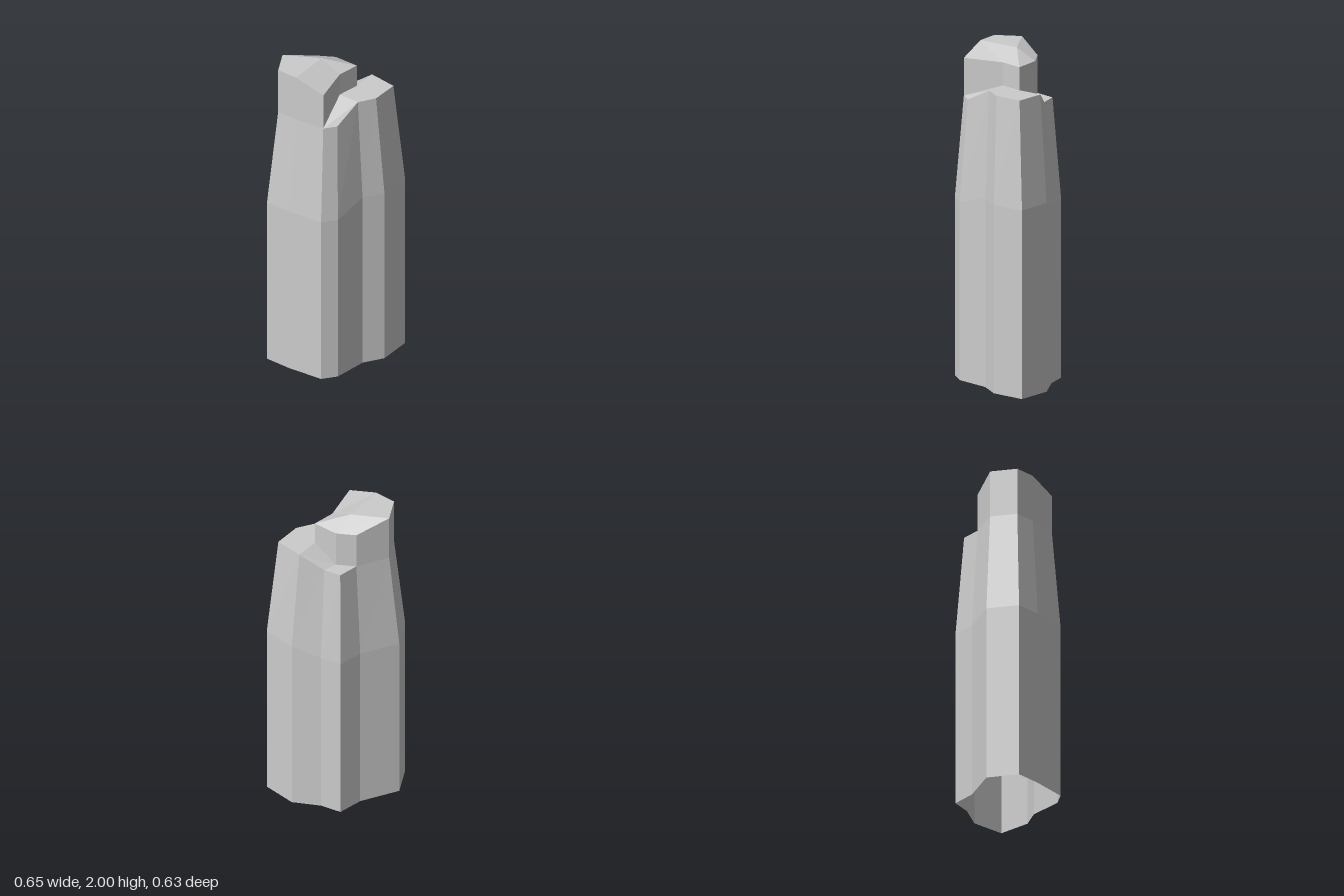
import * as THREE from 'three';

// Corners of the outline (x, z) at the base and, drawn in, at the shoulder
const base = {
  A: [-0.155, -0.317], B: [0.065, -0.202], C: [0.218, -0.178], D: [0.243, -0.052],
  E: [0.325, 0.102], F: [0.302, 0.309], G: [0.1, 0.315], H: [-0.017, 0.244],
  I: [-0.222, 0.222], J: [-0.304, 0.161], K: [-0.327, -0.06], L: [-0.327, -0.222],
};
const inner = {
  A: [-0.132, -0.26], B: [0.055, -0.165], C: [0.18, -0.145], D: [0.2, -0.04],
  E: [0.27, 0.09], F: [0.25, 0.264], G: [0.082, 0.267], H: [-0.017, 0.209],
  I: [-0.187, 0.19], J: [-0.255, 0.139], K: [-0.275, -0.047], L: [-0.275, -0.18],
  M: [-0.017, -0.06], N: [0.117, -0.06], P: [0.12, 0.095], Q: [-0.017, 0.075],
};

// Levels: the front corners break and end higher than the rest
const kinkY = (k) => ('EFGH'.includes(k) ? 1.15 : 1.09);
const ledgeY = (k) => ('EFGHPQ'.includes(k) ? 1.8 : 1.71);
const roofY = (k) => ('AKLM'.includes(k) ? 2 : 1.94);

const at = (plan, height) => (k) => [plan[k][0], height(k), plan[k][1]];
const ground = at(base, () => 0);
const kink = at(base, kinkY);
const ledge = at(inner, ledgeY);
const roof = at(inner, roofY);

// Wall between two levels of a closed ring of corners
function wall(ring, low, high) {
  return [...ring].map((a, i) => {
    const b = ring[(i + 1) % ring.length];
    return [low(b), low(a), high(a), high(b)];
  });
}

// Faceted mesh from polygons, each split as a fan from its first corner
function facets(name, polygons) {
  const points = [];
  for (const p of polygons) {
    for (let i = 1; i < p.length - 1; i++) points.push(...p[0], ...p[i], ...p[i + 1]);
  }
  const geometry = new THREE.BufferGeometry();
  geometry.setAttribute('position', new THREE.Float32BufferAttribute(points, 3));
  geometry.computeVertexNormals();
  const material = new THREE.MeshStandardMaterial({
    color: 0xcccccc, flatShading: true, side: THREE.DoubleSide,
  });
  const mesh = new THREE.Mesh(geometry, material);
  mesh.name = name;
  return mesh;
}

const caps = (faces, level) => faces.map((f) => [...f].map(level));

export function createModel() {
  const group = new THREE.Group();
  group.name = 'rockPillar';
  const outline = 'ABCDEFGHIJKL';

  // Upright shaft, open underneath, and the tapering shoulder above it
  group.add(facets('shaft', wall(outline, ground, kink)));
  group.add(facets('shoulder', wall(outline, kink, ledge)));

  // Stepped ledge around the front and side of the peak
  group.add(facets('ledge', caps(['JIHQ', 'PQHGFE', 'EDNP', 'NDCB'], ledge)));

  // Raised peak with a bevelled top
  group.add(facets('peakWalls', wall('ABNPQJKL', ledge, roof)));
  group.add(facets('peakTop', caps(['LKMA', 'AMNB', 'KJQM', 'MQPN'], roof)));

  return group;
}
